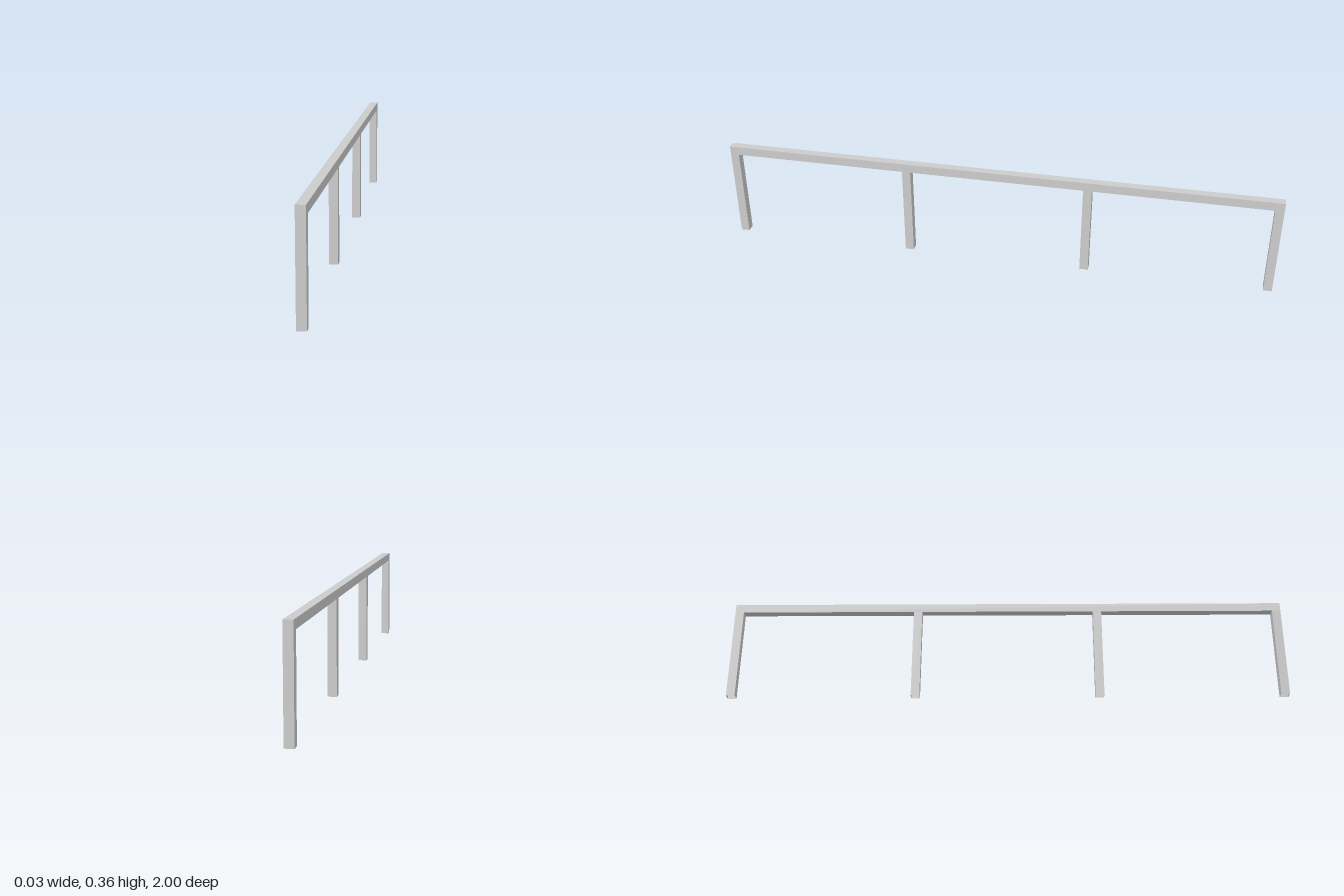
import * as THREE from 'three';

export function createModel() {
  const model = new THREE.Group();
  model.name = 'handrail';

  const width = 0.031;   // square section of rail and posts
  const height = 0.361;
  const length = 2;
  const postHeight = height - width;

  const railMaterial = new THREE.MeshStandardMaterial({ color: 0xcccccc, flatShading: true });
  const postMaterial = new THREE.MeshStandardMaterial({
    color: 0xcccccc, flatShading: true, side: THREE.DoubleSide,
  });

  // Top rail running front to back
  const rail = new THREE.Mesh(new THREE.BoxGeometry(width, width, length), railMaterial);
  rail.name = 'topRail';
  rail.position.y = height - width / 2;
  model.add(rail);

  // Four evenly spaced square posts, hollow and open at the foot
  const postGeometry = new THREE.CylinderGeometry(
    width / Math.SQRT2, width / Math.SQRT2, postHeight, 4, 1, true, Math.PI / 4);
  const count = 4;
  for (let i = 0; i < count; i++) {
    const post = new THREE.Mesh(postGeometry, postMaterial);
    post.name = `post${i + 1}`;
    post.position.set(0, postHeight / 2, (length - width) * (0.5 - i / (count - 1)));
    model.add(post);
  }

  return model;
}
